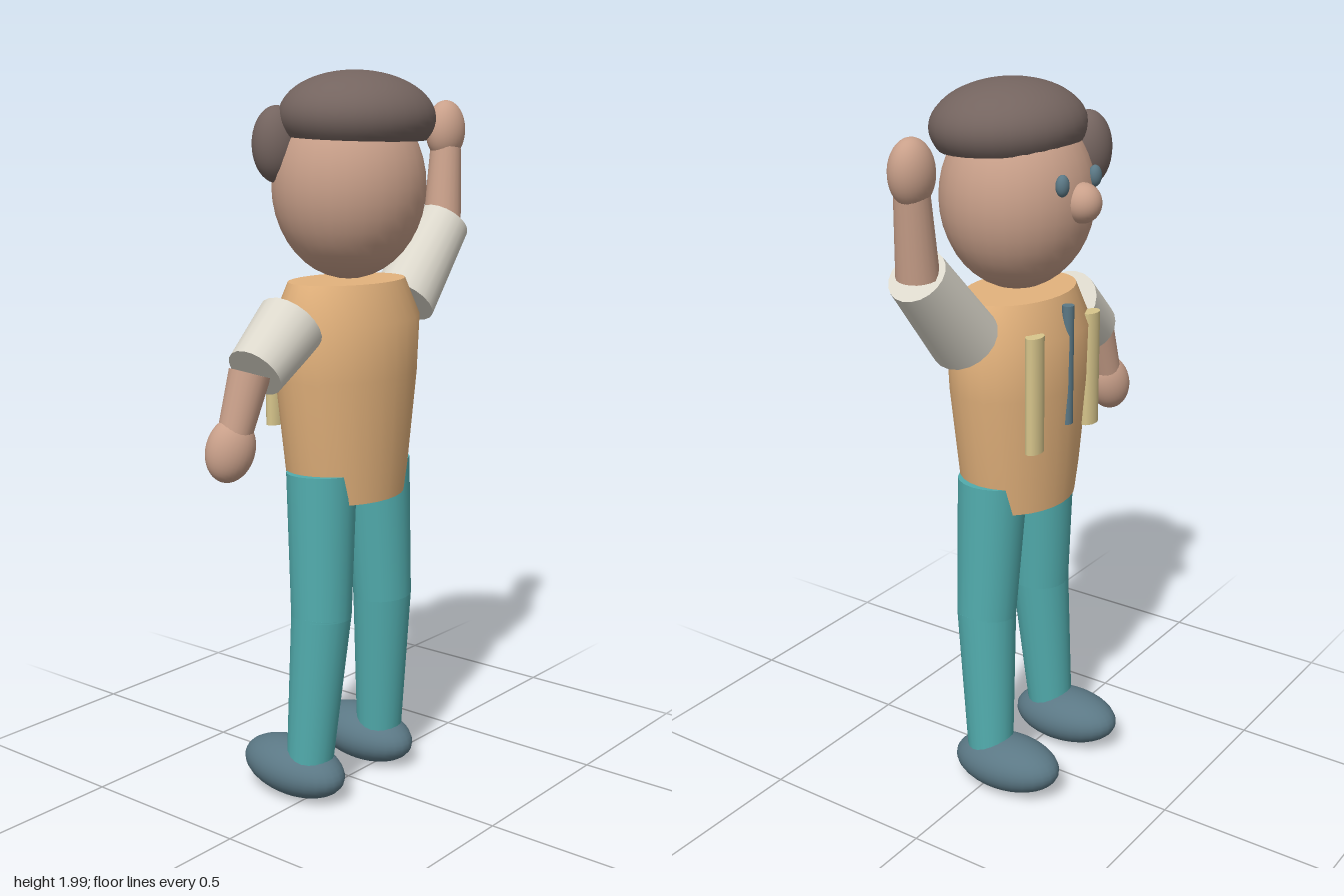
import * as THREE from 'three';
import { toCreasedNormals } from 'three/addons/utils/BufferGeometryUtils.js';

const mat = (color) => new THREE.MeshStandardMaterial({ color });
const skin = mat(0xc9a08a), vest = mat(0xe3b27c), teal = mat(0x52adae), slate = mat(0x5b7885);
const felt = mat(0x74645f), linen = mat(0xdcd8cc), straw = mat(0xd8c68c);
const V = (x, y, z) => new THREE.Vector3(x, y, z);

export function createModel() {
  const model = new THREE.Group();
  const add = (name, geometry, material) => {
    const mesh = new THREE.Mesh(geometry, material);
    mesh.name = name;
    model.add(mesh);
    return mesh;
  };
  const ellipsoid = (name, material, centre, radii, theta = Math.PI) => {
    const mesh = add(name, new THREE.SphereGeometry(1, 28, 20, 0, Math.PI * 2, 0, theta), material);
    mesh.position.copy(centre);
    mesh.scale.set(...radii);
    return mesh;
  };
  // Tapered cylinder running from point a (radius ra) to point b (radius rb)
  const limb = (name, material, a, b, ra, rb) => {
    const dir = b.clone().sub(a);
    const mesh = add(name, new THREE.CylinderGeometry(rb, ra, dir.length(), 20), material);
    mesh.position.copy(a).add(b).multiplyScalar(0.5);
    mesh.quaternion.setFromUnitVectors(V(0, 1, 0), dir.normalize());
    return mesh;
  };

  // Torso: oval lathe, flatter front to back towards the shoulders
  const profile = [[0, 0.865], [0.178, 0.865], [0.192, 0.945], [0.228, 1.2],
    [0.24, 1.35], [0.192, 1.453], [0, 1.453]].map(([r, y]) => new THREE.Vector2(r, y));
  const torso = new THREE.LatheGeometry(profile, 28);
  const p = torso.attributes.position;
  for (let i = 0; i < p.count; i++) {
    const t = (p.getY(i) - 0.865) / 0.588;
    p.setZ(i, p.getZ(i) * THREE.MathUtils.lerp(0.8, 0.68, t));
  }
  add('torso', toCreasedNormals(torso, 0.75), vest).position.set(-0.012, 0, 0.005);

  // Head, face and hat; the face looks towards -z
  ellipsoid('head', skin, V(-0.013, 1.7, 0.012), [0.212, 0.244, 0.202]);
  ellipsoid('nose', skin, V(-0.012, 1.705, -0.188), [0.05, 0.052, 0.05]);
  for (const side of [-1, 1]) {
    ellipsoid(side > 0 ? 'leftEye' : 'rightEye', slate,
      V(-0.012 + side * 0.077, 1.76, -0.176), [0.02, 0.028, 0.017]);
  }
  ellipsoid('hairTuft', felt, V(-0.17, 1.81, -0.103), [0.07, 0.1, 0.062]);
  const hat = ellipsoid('hat', felt, V(-0.013, 1.88, 0.04), [0.218, 0.12, 0.199], Math.PI * 0.65);
  hat.rotation.x = 0.04;
  // Underside closing the hat
  const brim = new THREE.Mesh(new THREE.CircleGeometry(Math.sin(Math.PI * 0.65), 28), felt);
  brim.name = 'hatUnderside';
  brim.rotation.x = Math.PI / 2;
  brim.position.y = Math.cos(Math.PI * 0.65);
  hat.add(brim);

  // Legs and shoes
  const legs = [
    ['right', -0.133, -0.148, -0.171],
    ['left', 0.103, 0.124, 0.143],
  ];
  for (const [side, hip, knee, ankle] of legs) {
    limb(side + 'Thigh', teal, V(knee, 0.54, 0.024), V(hip, 0.943, 0.014), 0.083, 0.096);
    limb(side + 'Shin', teal, V(ankle, 0.12, 0), V(knee, 0.55, 0.024), 0.065, 0.083);
    const shoe = ellipsoid(side + 'Shoe', slate, V(ankle, 0.088, -0.058), [0.097, 0.078, 0.167]);
    shoe.rotation.x = 0.06;
  }

  // Arms: right hangs bent, left is raised
  const arms = [
    ['right', V(-0.25, 1.357, 0.01), V(-0.394, 1.249, 0.015),
      V(-0.408, 1.25, 0.01), V(-0.456, 1.09, -0.003), V(-0.466, 1.06, -0.006)],
    ['left', V(0.23, 1.373, 0.01), V(0.418, 1.582, 0.012),
      V(0.422, 1.582, 0.006), V(0.452, 1.79, -0.006), V(0.458, 1.84, -0.012)],
  ];
  for (const [side, shoulder, cuff, elbow, wrist, palm] of arms) {
    limb(side + 'Sleeve', linen, shoulder, cuff, 0.093, 0.077);
    const forearm = limb(side + 'Forearm', skin, elbow, wrist, 0.054, 0.044);
    ellipsoid(side + 'Hand', skin, palm, [0.064, 0.085, 0.053]).quaternion.copy(forearm.quaternion);
  }

  // Vertical strips on the chest
  const strips = [
    ['rightStrip', straw, -0.148, 1.219, -0.135, 0.033, 0.021, 0.318],
    ['leftStrip', straw, 0.124, 1.219, -0.135, 0.033, 0.021, 0.318],
    ['middleStrip', slate, -0.01, 1.267, -0.15, 0.017, 0.016, 0.328],
  ];
  for (const [name, material, x, y, z, rx, rz, h] of strips) {
    const strip = add(name, new THREE.CylinderGeometry(1, 1, h, 16), material);
    strip.scale.set(rx, 1, rz);
    strip.position.set(x, y, z);
  }
  return model;
}
